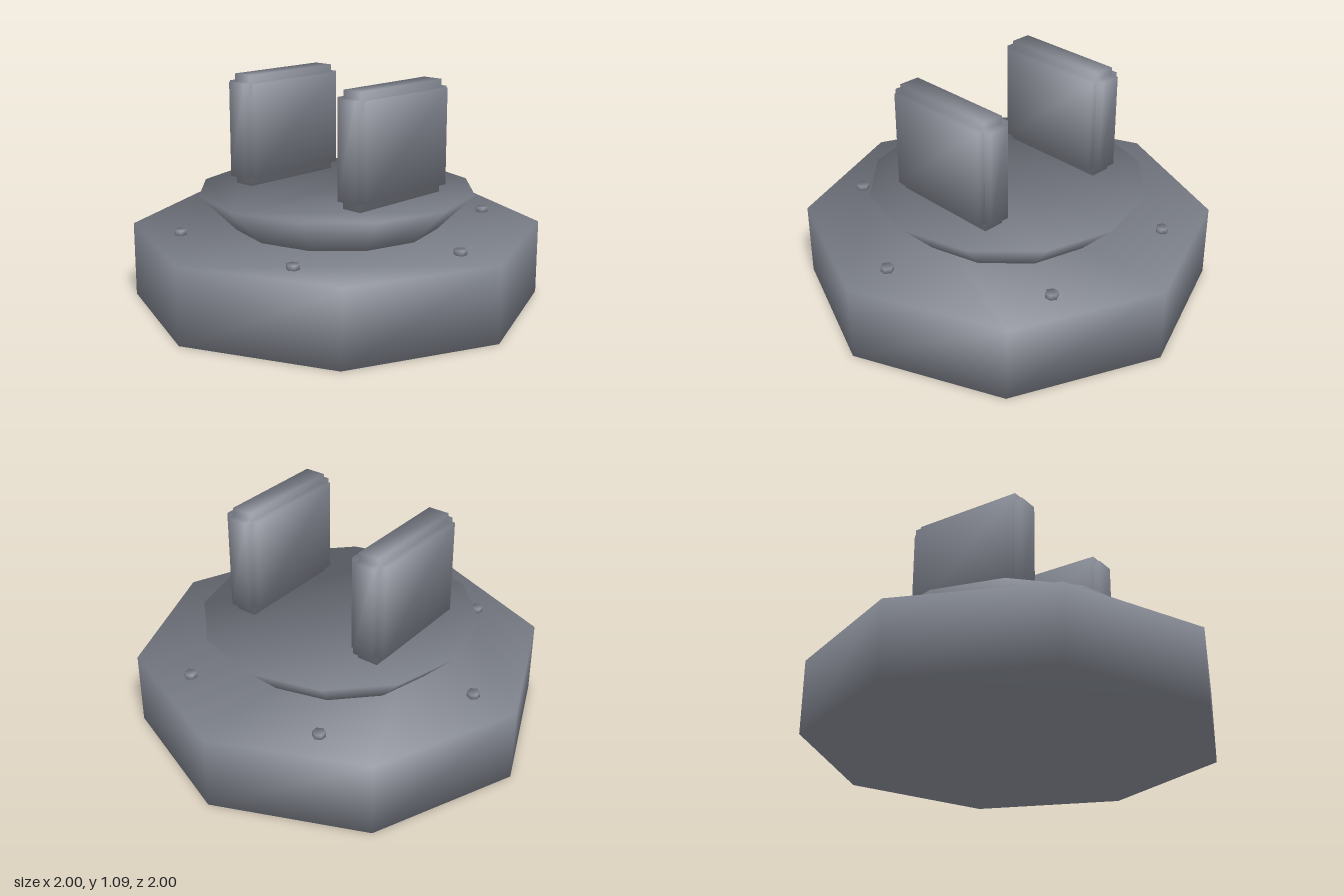
import * as THREE from 'three';
import { mergeVertices } from 'three/addons/utils/BufferGeometryUtils.js';

const material = new THREE.MeshStandardMaterial({ color: 0x80848e });

// Weld corners and average face normals by corner angle, so shading rolls over every edge
function smooth(geometry) {
  geometry.deleteAttribute('normal');
  geometry.deleteAttribute('uv');
  const welded = mergeVertices(geometry, 1e-4);
  const { position } = welded.attributes;
  const index = welded.index.array;
  const points = [], normals = [];
  for (let i = 0; i < position.count; i++) {
    points.push(new THREE.Vector3().fromBufferAttribute(position, i));
    normals.push(new THREE.Vector3());
  }
  for (let f = 0; f < index.length; f += 3) {
    for (let k = 0; k < 3; k++) {
      const corner = index[f + k];
      const u = points[index[f + ((k + 1) % 3)]].clone().sub(points[corner]);
      const v = points[index[f + ((k + 2) % 3)]].clone().sub(points[corner]);
      const faceNormal = u.clone().cross(v).normalize();
      normals[corner].addScaledVector(faceNormal, u.angleTo(v));
    }
  }
  const flat = normals.flatMap((n) => n.normalize().toArray());
  welded.setAttribute('normal', new THREE.Float32BufferAttribute(flat, 3));
  return welded;
}

function add(parent, name, geometry, x, y, z) {
  const mesh = new THREE.Mesh(smooth(geometry), material);
  mesh.name = name;
  mesh.position.set(x, y, z);
  parent.add(mesh);
}

// Prism between two heights, its caps fanned from a rim corner
function prism(parent, name, rTop, rBottom, y0, y1, sides, x = 0, z = 0) {
  const positions = [], index = [];
  for (let i = 0; i < sides; i++) {
    const a = (i / sides) * Math.PI * 2;
    const s = Math.sin(a), c = Math.cos(a);
    positions.push(rBottom * s, y0, rBottom * c, rTop * s, y1, rTop * c);
    const b = 2 * i, n = 2 * ((i + 1) % sides);
    index.push(b, n, n + 1, b, n + 1, b + 1);
    if (i > 0 && i < sides - 1) index.push(1, b + 1, n + 1, 0, n, b);
  }
  const geometry = new THREE.BufferGeometry();
  geometry.setAttribute('position', new THREE.Float32BufferAttribute(positions, 3));
  geometry.setIndex(index);
  add(parent, name, geometry, x, 0, z);
}

export function createModel() {
  const group = new THREE.Group();
  group.name = 'pedestal';

  // Octagonal base and flared twelve-sided plate
  prism(group, 'base', 1, 1, 0, 0.365, 8);
  prism(group, 'flaredPlate', 0.68, 0.5, 0.365, 0.545, 12);

  // Ring of six hexagonal bolts
  for (let i = 0; i < 6; i++) {
    const a = (i * Math.PI) / 3;
    prism(group, 'bolt', 0.031, 0.031, 0.36, 0.39, 6, 0.772 * Math.cos(a), 0.772 * Math.sin(a));
  }

  // Two upright pads, each with its faces stepped out from a common core
  for (const side of [-1, 1]) {
    const pad = new THREE.Group();
    pad.name = side > 0 ? 'leftPad' : 'rightPad';
    pad.position.x = side * 0.365;
    add(pad, 'padCore', new THREE.BoxGeometry(0.106, 0.547, 0.56), 0, 0.8185, 0);
    add(pad, 'padSides', new THREE.BoxGeometry(0.18, 0.468, 0.56), 0, 0.821, 0);
    add(pad, 'padEnds', new THREE.BoxGeometry(0.106, 0.468, 0.636), 0, 0.821, 0);
    group.add(pad);
  }
  return group;
}
